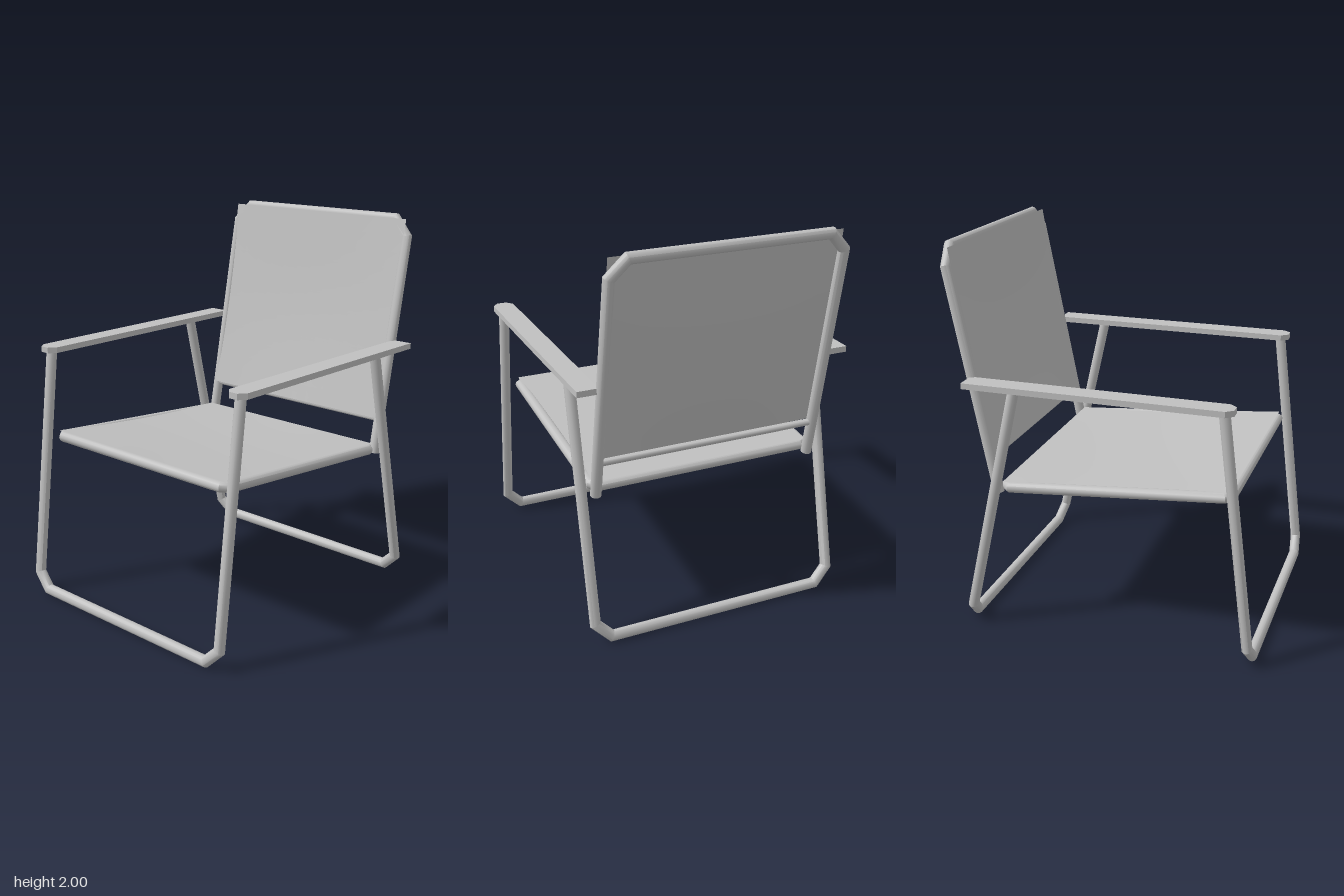
import * as THREE from 'three';
import { toCreasedNormals } from 'three/addons/utils/BufferGeometryUtils.js';

const SIDES = 12, R = 0.028;

// Round tube along a flat path of [x, y] points, with mitred corners
function tube(points, r = R, closed = false) {
  const P = points.map(([x, y]) => new THREE.Vector2(x, y)), n = P.length;
  const pos = [], idx = [];
  const dir = (i, j) => P[(j + n) % n].clone().sub(P[(i + n) % n]).normalize();
  P.forEach((p, i) => {
    const a = closed || i > 0 ? dir(i - 1, i) : dir(i, i + 1);
    const b = closed || i < n - 1 ? dir(i, i + 1) : a;
    const t = a.clone().add(b).normalize(), stretch = 1 / t.dot(b);
    for (let k = 0; k < SIDES; k++) {
      const ang = (k / SIDES) * Math.PI * 2, c = Math.cos(ang) * r * stretch;
      pos.push(p.x + t.y * c, p.y - t.x * c, Math.sin(ang) * r);
    }
  });
  for (let i = 0; i < (closed ? n : n - 1); i++) {
    for (let k = 0; k < SIDES; k++) {
      const k2 = (k + 1) % SIDES, o = ((i + 1) % n) * SIDES;
      const a = i * SIDES + k, b = i * SIDES + k2, c = o + k, d = o + k2;
      idx.push(a, c, b, b, c, d);
    }
  }
  if (!closed) {
    const last = (n - 1) * SIDES;
    for (let k = 1; k < SIDES - 1; k++) idx.push(0, k, k + 1, last, last + k + 1, last + k);
  }
  const g = new THREE.BufferGeometry();
  g.setAttribute('position', new THREE.Float32BufferAttribute(pos, 3));
  g.setIndex(idx);
  return toCreasedNormals(g, 0.6);
}

// Fabric panel from y0 to y1, resting on one side of the frame and sagging slightly
function panel(halfWidth, y0, y1, side) {
  const g = new THREE.PlaneGeometry(halfWidth * 2, y1 - y0, 12, 12);
  g.translate(0, (y0 + y1) / 2, 0);
  const p = g.attributes.position;
  for (let i = 0; i < p.count; i++) {
    const u = Math.cos((p.getX(i) / halfWidth) * Math.PI / 2);
    const v = Math.sin(((p.getY(i) - y0) / (y1 - y0)) * Math.PI);
    p.setZ(i, side * (0.029 - v * (0.009 + 0.008 * u)));
  }
  g.computeVertexNormals();
  return g;
}

export function createModel() {
  const model = new THREE.Group();
  model.name = 'foldingChair';
  const metal = new THREE.MeshStandardMaterial({ color: 0xc0c0c0 });
  metal.name = 'grey frame';
  const fabric = new THREE.MeshStandardMaterial({ color: 0xc0c0c0, side: THREE.DoubleSide });
  fabric.name = 'grey fabric';

  function add(parent, name, geometry, material = metal) {
    const mesh = new THREE.Mesh(geometry, material);
    mesh.name = name;
    parent.add(mesh);
    return mesh;
  }

  // Group whose local y runs from one [y, z] point to another
  function leaning(name, [y0, z0], [y1, z1]) {
    const g = new THREE.Group();
    g.name = name;
    g.position.set(0, y0, z0);
    g.rotation.x = Math.atan2(z1 - z0, y1 - y0);
    model.add(g);
    return { group: g, length: Math.hypot(y1 - y0, z1 - z0) };
  }

  // Front and rear U-shaped legs
  for (const [name, foot, top] of [
    ['frontLegs', [0.028, 0.788], [1.32, 0.632]],
    ['rearLegs', [0.028, -0.71], [1.32, -0.415]],
  ]) {
    const { group, length } = leaning(name, foot, top);
    add(group, name + 'Tube', tube([
      [-0.66, length], [-0.66, 0.08], [-0.58, 0], [0.58, 0], [0.66, 0.08], [0.66, length],
    ]));
  }

  // Backrest: inverted U frame, lower rail and fabric
  const back = leaning('backrest', [0.738, -0.55], [1.973, -0.792]);
  const bl = back.length;
  add(back.group, 'backFrame', tube([
    [-0.588, 0], [-0.588, bl - 0.09], [-0.505, bl], [0.505, bl], [0.588, bl - 0.09], [0.588, 0],
  ]));
  add(back.group, 'backLowerRail', tube([[-0.585, 0.19], [0.585, 0.19]], 0.018));
  add(back.group, 'backFabric', panel(0.588, 0.19, bl, 1), fabric);

  // Seat: closed frame and fabric
  const seat = leaning('seat', [0.768, -0.515], [0.87, 0.655]);
  const sl = seat.length, w = 0.588, c = 0.03;
  add(seat.group, 'seatFrame', tube([
    [-w, c], [-w + c, 0], [w - c, 0], [w, c],
    [w, sl - c], [w - c, sl], [-w + c, sl], [-w, sl - c],
  ], R, true));
  add(seat.group, 'seatFabric', panel(0.592, -0.01, sl + 0.005, -1), fabric);

  // Armrests: flat boards with clipped front corners
  const board = new THREE.Shape([
    [-0.055, -0.67], [0.055, -0.67], [0.055, 0.645], [0.025, 0.682], [-0.025, 0.682], [-0.055, 0.645],
  ].map(([x, z]) => new THREE.Vector2(x, z)));
  const boardGeometry = new THREE.ExtrudeGeometry(board, { depth: 0.03, bevelEnabled: false });
  boardGeometry.rotateX(Math.PI / 2);
  for (const s of [-1, 1]) {
    add(model, s > 0 ? 'leftArmrest' : 'rightArmrest', boardGeometry).position.set(s * 0.657, 1.346, 0);
  }

  return model;
}
